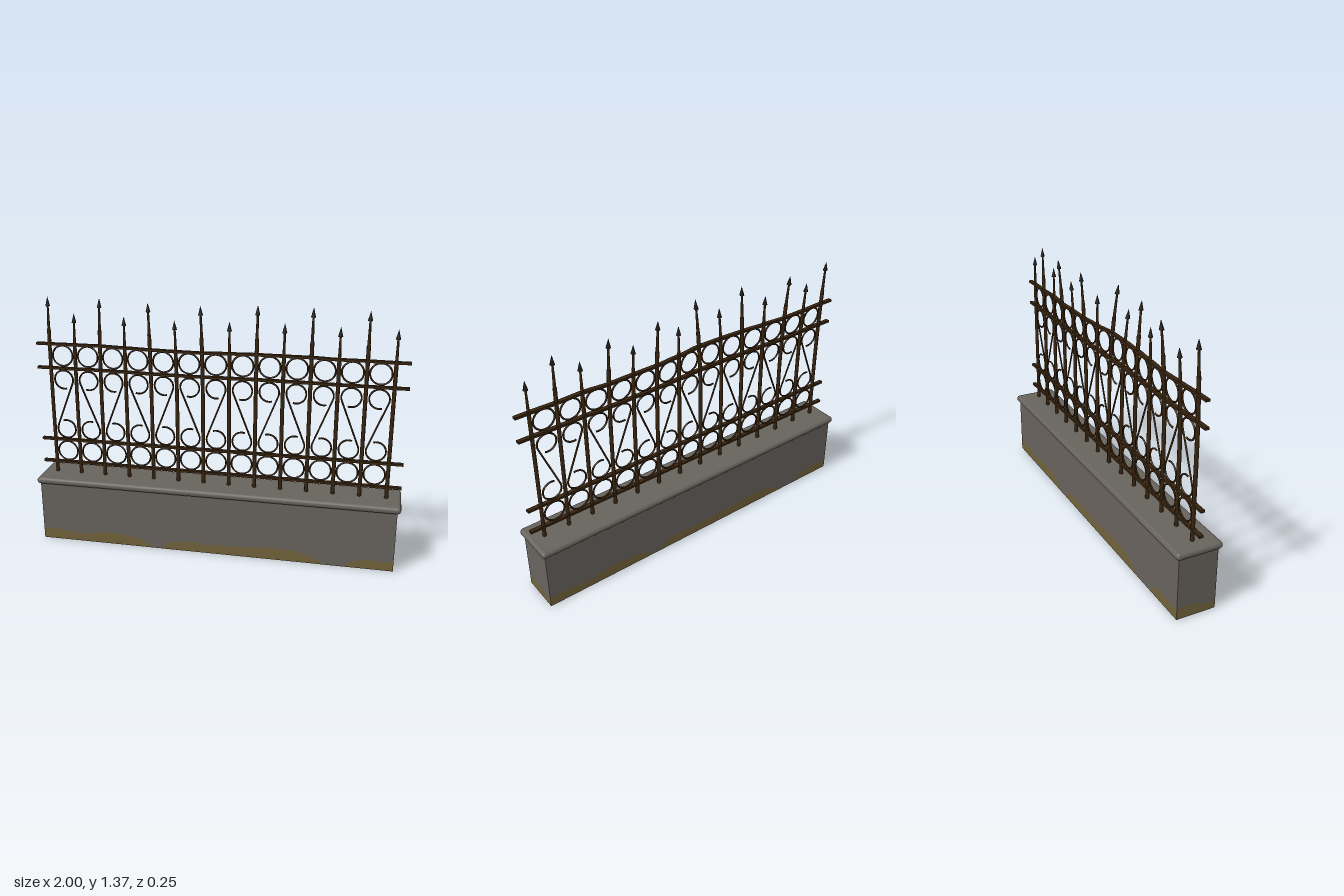
import * as THREE from 'three';
import { RoundedBoxGeometry } from 'three/addons/geometries/RoundedBoxGeometry.js';

const POSTS = 14, SPACING = 0.1416, FIRST = -SPACING * 6.5;
// sideways lean of each post at full height
const LEAN = [-0.018, -0.03, -0.035, -0.006, 0.026, 0.045, 0.05, 0.002, -0.026, -0.025, -0.03, 0.004, -0.005, 0.005];

const iron = new THREE.MeshStandardMaterial({ color: 0x38240f });
const darkIron = new THREE.MeshStandardMaterial({ color: 0x1e1811 });
const stone = new THREE.MeshStandardMaterial({ color: 0x67625c, side: THREE.DoubleSide });
const moss = new THREE.MeshStandardMaterial({ color: 0x70623b, side: THREE.DoubleSide });
iron.name = 'rusty iron';
darkIron.name = 'dark iron';
stone.name = 'grey stone';
moss.name = 'dry moss';

// Lean grows with height above the middle of the fence
function bend(x, y) {
  const t = THREE.MathUtils.clamp((x - FIRST) / SPACING, 0, POSTS - 1);
  const i = Math.min(Math.floor(t), POSTS - 2);
  const a = THREE.MathUtils.lerp(LEAN[i], LEAN[i + 1], THREE.MathUtils.smoothstep(t - i, 0, 1));
  return a * Math.max(0, (y - 0.75) / 0.62) ** 2;
}

function addBent(group, name, geo, material, x, y) {
  geo.translate(x, y, 0);
  const p = geo.attributes.position;
  for (let i = 0; i < p.count; i++) p.setZ(i, p.getZ(i) + bend(p.getX(i), p.getY(i)));
  const mesh = new THREE.Mesh(geo, material);
  mesh.name = name;
  group.add(mesh);
}

// S-shaped scroll: hook, straight diagonal, hook
class ScrollCurve extends THREE.Curve {
  constructor(side) { super(); this.side = side; }
  getPoint(t, target = new THREE.Vector3()) {
    const r = 0.052, half = 0.143, end = -20, start = 288;
    const arc = (u) => {
      const a = THREE.MathUtils.degToRad(THREE.MathUtils.lerp(start, end, u));
      return [r * Math.cos(a), half + r * Math.sin(a)];
    };
    let x, y;
    if (t < 0.4) [x, y] = arc(t / 0.4);
    else if (t > 0.6) { [x, y] = arc((1 - t) / 0.4); x = -x; y = -y; }
    else {
      const [ax, ay] = arc(1), k = 1 - (t - 0.4) / 0.1;
      x = ax * k; y = ay * k;
    }
    return target.set(x * this.side, y, 0);
  }
}

// Vertical wall strip along a line of points {x, z, low, high}
function strip(points, out) {
  for (let i = 0; i < points.length - 1; i++) {
    const a = points[i], b = points[i + 1];
    out.push(a.x, a.low, a.z, b.x, b.low, b.z, b.x, b.high, b.z,
      a.x, a.low, a.z, b.x, b.high, b.z, a.x, a.high, a.z);
  }
}

function stripMesh(name, positions, material) {
  const geo = new THREE.BufferGeometry();
  geo.setAttribute('position', new THREE.Float32BufferAttribute(positions, 3));
  geo.computeVertexNormals();
  const mesh = new THREE.Mesh(geo, material);
  mesh.name = name;
  return mesh;
}

function createBase() {
  const base = new THREE.Group();
  base.name = 'base';
  const W = 0.983, D = 0.107, H = 0.35;
  // Moss edge as [x, height] along the long side, then [z, height] along the end
  const longEdge = [[-W, 0.058], [-0.9, 0.062], [-0.82, 0.052], [-0.74, 0.045], [-0.68, 0.058], [-0.6, 0.068],
    [-0.5, 0.062], [-0.42, 0.052], [-0.38, 0.03], [-0.36, 0.012], [-0.3, 0.003], [-0.27, 0.02], [-0.24, 0.045],
    [-0.13, 0.06], [-0.05, 0.05], [0.03, 0.056], [0.08, 0.052], [0.2, 0.06], [0.3, 0.07], [0.42, 0.068],
    [0.5, 0.055], [0.54, 0.04], [0.58, 0.022], [0.62, 0.003], [0.72, 0.003], [0.75, 0.028], [0.79, 0.05],
    [0.87, 0.054], [0.93, 0.05], [W, 0.058]];
  const endEdge = [[D, 0.058], [0.05, 0.063], [0, 0.06], [-0.03, 0.05], [-0.07, 0.042], [-D, 0.04]];
  const low = [], high = [];
  for (const s of [1, -1]) {
    const sides = [
      longEdge.map(([x, h]) => ({ x: x * s, z: D * s, h })),
      endEdge.map(([z, h]) => ({ x: W * s, z: z * s, h })),
    ];
    for (const side of sides) {
      strip(side.map((p) => ({ ...p, low: 0, high: p.h })), low);
      strip(side.map((p) => ({ ...p, low: p.h, high: H })), high);
    }
  }
  base.add(stripMesh('mossBand', low, moss), stripMesh('wall', high, stone));
  const cap = new THREE.Mesh(new RoundedBoxGeometry(2, 0.038, 0.25, 4, 0.018), stone);
  cap.name = 'capStone';
  cap.position.y = 0.358;
  base.add(cap);
  return base;
}

function createFence() {
  const fence = new THREE.Group();
  fence.name = 'fence';

  // Horizontal rails
  for (const y of [0.438, 0.572, 0.985, 1.118]) {
    addBent(fence, 'rail', new THREE.BoxGeometry(1.99, 0.013, 0.022, 80, 1, 1), iron, 0, y);
  }

  // Posts with tapered necks and spear tips, alternately tall and short
  for (let i = 0; i < POSTS; i++) {
    const x = FIRST + i * SPACING, drop = i % 2 ? 0.085 : 0;
    const shoulder = 1.2 - drop, neckTop = 1.335 - drop, bottom = 0.37;
    addBent(fence, 'post', new THREE.CylinderGeometry(0.0105, 0.0105, shoulder - bottom, 8, 20), iron, x, (shoulder + bottom) / 2);
    addBent(fence, 'postNeck', new THREE.CylinderGeometry(0.005, 0.0085, neckTop - shoulder, 8, 6), iron, x, (shoulder + neckTop) / 2);
    addBent(fence, 'spearTip', new THREE.ConeGeometry(0.013, 0.05, 8, 2), darkIron, x, neckTop + 0.013);
  }

  // Rings and scrolls filling each gap
  for (let i = 0; i < POSTS - 1; i++) {
    const x = FIRST + (i + 0.5) * SPACING;
    for (const y of [0.505, 1.055]) {
      addBent(fence, 'ring', new THREE.TorusGeometry(0.056, 0.005, 6, 28), iron, x, y);
    }
    const curve = new ScrollCurve(i % 2 ? -1 : 1);
    addBent(fence, 'scroll', new THREE.TubeGeometry(curve, 64, 0.005, 6), iron, x, 0.778);
  }
  return fence;
}

export function createModel() {
  const model = new THREE.Group();
  model.name = 'ironFenceOnWall';
  model.add(createBase(), createFence());
  return model;
}
